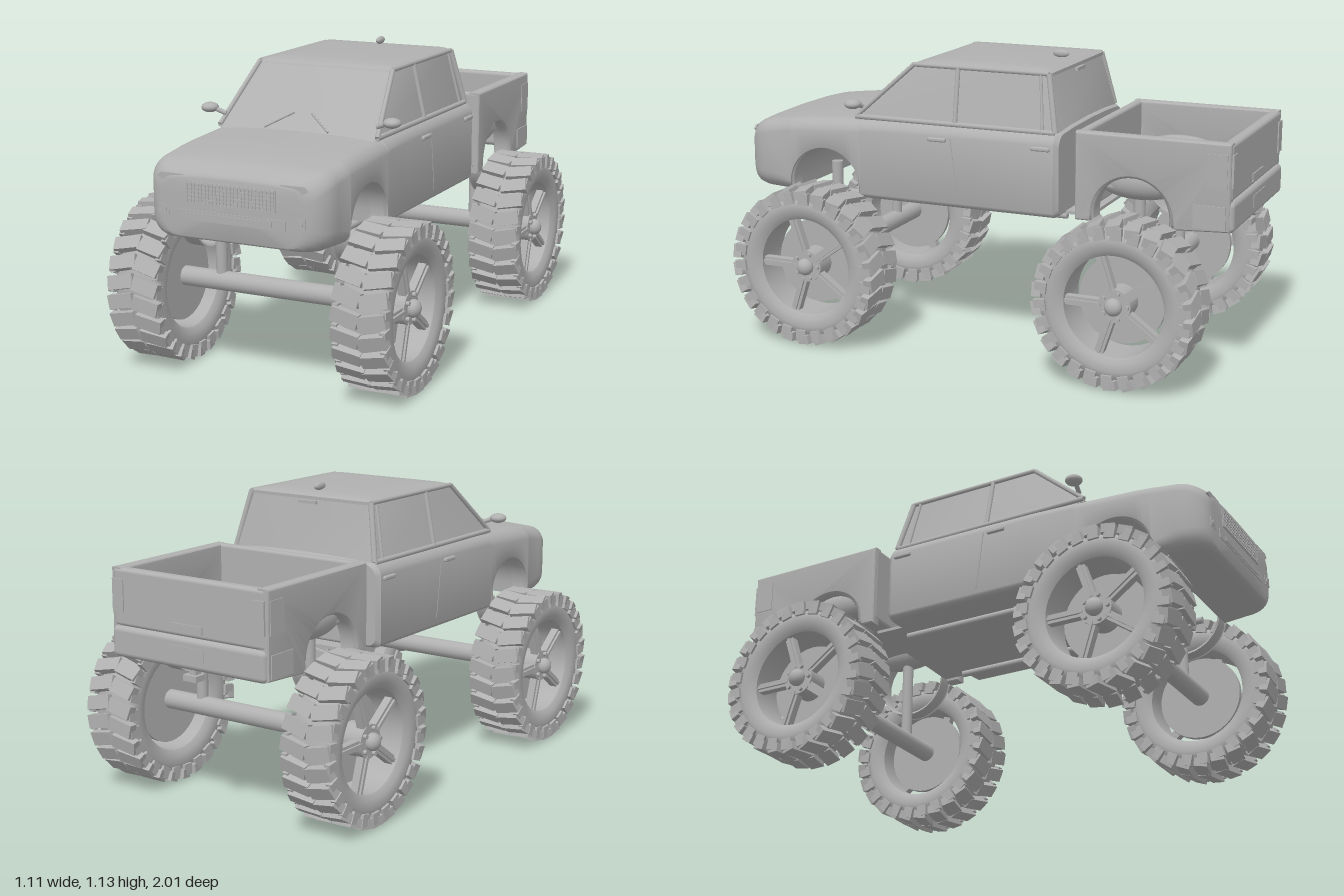
import * as THREE from 'three';
import { mergeGeometries, toCreasedNormals } from 'three/addons/utils/BufferGeometryUtils.js';
import { RoundedBoxGeometry } from 'three/addons/geometries/RoundedBoxGeometry.js';

const grey = new THREE.MeshStandardMaterial({ color: 0xb0b0b0, side: THREE.DoubleSide });
grey.name = 'plain grey';
const V = (x, y, z) => new THREE.Vector3(x, y, z);
const AXLES = [0.643, -0.617], ARCH_Y = 0.59, ARCH_R = 0.155, WHEEL_Y = 0.312;

export function createModel() {
  const model = new THREE.Group();
  model.name = 'liftedPickup';

  const add = (name, geo, x = 0, y = 0, z = 0, parent = model) => {
    const m = new THREE.Mesh(geo, grey);
    m.name = name;
    m.position.set(x, y, z);
    parent.add(m);
    return m;
  };
  const box = (name, w, h, d, x, y, z, parent) => add(name, new THREE.BoxGeometry(w, h, d), x, y, z, parent);
  const beam = (name, a, b, r, sides = 10) => {
    const m = add(name, new THREE.CylinderGeometry(r, r, a.distanceTo(b), sides));
    m.position.copy(a).lerp(b, 0.5);
    m.quaternion.setFromUnitVectors(V(0, 1, 0), b.clone().sub(a).normalize());
    return m;
  };
  const ball = (name, x, y, z, rx, ry, rz, parent) => {
    const m = add(name, new THREE.SphereGeometry(1, 24, 16), x, y, z, parent);
    m.scale.set(rx, ry, rz);
    return m;
  };
  // Skin closed rings of equal length and cap both ends
  const loft = (rings, crease = 0.6) => {
    const n = rings[0].length, pts = rings.flat(), idx = [];
    for (let i = 0; i < rings.length - 1; i++) for (let j = 0; j < n; j++) {
      const a = i * n + j, b = i * n + (j + 1) % n;
      idx.push(a, a + n, b, b, a + n, b + n);
    }
    [0, rings.length - 1].forEach((r, k) => {
      const c = rings[r].reduce((s, p) => s.add(p), V(0, 0, 0)).divideScalar(n);
      for (let j = 0; j < n; j++) {
        const a = r * n + j, b = r * n + (j + 1) % n;
        idx.push(pts.length, ...(k ? [b, a] : [a, b]));
      }
      pts.push(c);
    });
    const g = new THREE.BufferGeometry().setFromPoints(pts);
    g.setIndex(idx);
    return toCreasedNormals(g, crease);
  };

  // ---- Lower body: rounded sections from nose to cab back, arched over the front wheels
  const section = (z, w, T, B, rt, rb) => {
    const half = [[0, B]];
    for (let i = 0; i <= 5; i++) {
      const a = -Math.PI / 2 + i * Math.PI / 10;
      half.push([w - rb + rb * Math.cos(a), B + rb + rb * Math.sin(a)]);
    }
    for (let i = 0; i <= 6; i++) {
      const a = i * Math.PI / 12;
      half.push([w - rt + rt * Math.cos(a) - 0.008 * Math.sin(a), T - rt + rt * Math.sin(a)]);
    }
    half.push([w * 0.55, T + 0.006], [0, T + 0.009]);
    const mirror = half.slice(1, -1).reverse().map(([x, y]) => [-x, y]);
    return [...half, ...mirror].map(([x, y]) => V(x, y, z));
  };
  const topCurve = [[1, 0.812], [0.94, 0.832], [0.85, 0.847], [0.72, 0.859], [0.5, 0.87], [0.3, 0.877], [-0.34, 0.88]];
  const topAt = z => {
    const i = Math.max(1, topCurve.findIndex(p => p[0] <= z));
    const [a, b] = [topCurve[i - 1], topCurve[i]];
    return a[1] + (b[1] - a[1]) * (a[0] - z) / (a[0] - b[0]);
  };
  const rings = [];
  for (let i = 0; i <= 8; i++) {
    const a = i * Math.PI / 16, d = 1 - Math.sin(a), z = 1 - 0.11 * (1 - Math.cos(a));
    rings.push(section(z, 0.353 - 0.085 * d, topAt(z) - 0.03 * d, 0.56 + 0.02 * d, 0.05, 0.07));
  }
  rings.push(section(AXLES[0] + ARCH_R + 0.002, 0.353, topAt(0.8), 0.56, 0.05, 0.05));
  for (let i = 0; i <= 24; i++) {
    const a = i * Math.PI / 24, z = AXLES[0] + ARCH_R * Math.cos(a);
    rings.push(section(z, 0.354, topAt(z), ARCH_Y + ARCH_R * Math.sin(a), 0.05, 0.004));
  }
  for (const z of [AXLES[0] - ARCH_R - 0.002, 0.3, 0, -0.315]) rings.push(section(z, 0.354, topAt(z), 0.56, 0.045, 0.03));
  rings.push(section(-0.332, 0.34, 0.872, 0.57, 0.04, 0.03));
  add('lowerBody', loft(rings));

  // ---- Cabin: tapered window block with domed roof
  const cabRing = (y, w, zf, zb, r) => {
    const out = [];
    [[w - r, zf - r, 0], [-w + r, zf - r, 1], [-w + r, zb + r, 2], [w - r, zb + r, 3]].forEach(([x, z, q]) => {
      for (let i = 0; i <= 4; i++) {
        const a = (q + i / 4) * Math.PI / 2;
        out.push(V(x + r * Math.cos(a), y, z + r * Math.sin(a)));
      }
    });
    return out;
  };
  add('cabin', loft([cabRing(0.865, 0.322, 0.53, -0.322, 0.02), cabRing(1.085, 0.275, 0.29, -0.272, 0.02)]));
  add('roof', loft([cabRing(1.08, 0.28, 0.295, -0.28, 0.025), cabRing(1.092, 0.28, 0.288, -0.28, 0.025),
    cabRing(1.1, 0.262, 0.262, -0.262, 0.03), cabRing(1.105, 0.2, 0.2, -0.2, 0.03)], 1));
  for (const s of [-1, 1]) {
    const low = z => V(s * 0.322, 0.878, z), high = z => V(s * 0.277, 1.088, z);
    beam('frontPillar', low(0.515), high(0.285), 0.009);
    beam('middlePillar', low(0.095), high(0.1), 0.009);
    beam('rearPillar', low(-0.31), high(-0.268), 0.011);
    beam('windowSill', low(0.515), low(-0.31), 0.01);
    beam('roofRail', high(0.285), high(-0.268), 0.009);
    beam('quarterFrame', low(-0.26), high(-0.235), 0.006);
    beam('mirrorArm', V(s * 0.31, 0.915, 0.49), V(s * 0.36, 0.935, 0.5), 0.009);
    ball('mirror', s * 0.373, 0.935, 0.5, 0.033, 0.019, 0.033);
    beam('wiper', V(s * 0.13, 0.885, 0.525), V(s * 0.035, 0.937, 0.465), 0.004, 6);
    for (const z of [0.155, -0.265]) add('doorHandle', new RoundedBoxGeometry(0.02, 0.016, 0.075, 2, 0.006), s * 0.355, 0.822, z);
    beam('doorSeam', V(s * 0.354, 0.6, 0.07), V(s * 0.354, 0.83, 0.1), 0.002, 5);
    beam('underTube', V(s * 0.212, 0.543, 0.75), V(s * 0.212, 0.543, -0.32), 0.013, 16);
  }
  box('rearRoofLight', 0.08, 0.012, 0.012, 0, 1.07, -0.283);
  ball('roofAerial', 0, 1.12, -0.205, 0.012, 0.015, 0.033);

  // ---- Nose details
  box('grillePanel', 0.35, 0.076, 0.008, 0, 0.737, 0.999);
  for (let i = 0; i <= 24; i++) box('grilleBar', 0.003, 0.07, 0.006, -0.168 + i * 0.014, 0.737, 1.003);
  for (let i = 0; i <= 5; i++) box('grilleSlat', 0.34, 0.003, 0.006, 0, 0.703 + i * 0.0136, 1.003);
  box('lowerIntake', 0.42, 0.036, 0.008, 0, 0.657, 0.999);
  box('intakeInsert', 0.32, 0.02, 0.008, 0, 0.657, 1.002);
  for (const s of [-1, 1]) {
    const lamp = new THREE.Shape([[0.17, 0.768], [0.265, 0.764], [0.293, 0.784], [0.278, 0.797], [0.19, 0.797]]
      .map(([x, y]) => new THREE.Vector2(s * x, y)));
    add('headlight', new THREE.ExtrudeGeometry(lamp, { depth: 0.009, bevelEnabled: false }), 0, 0, 0.988);
    box('fogLightFrame', 0.042, 0.038, 0.009, s * 0.265, 0.67, 0.997);
    add('fogLight', new THREE.CylinderGeometry(0.012, 0.012, 0.008, 16), s * 0.265, 0.67, 1.001).rotation.x = Math.PI / 2;
  }

  // ---- Cargo bed: arched side walls, end walls, ribbed floor
  const wall = new THREE.Shape();
  wall.moveTo(-0.41, 0.58).lineTo(-0.41, 0.888).lineTo(-0.972, 0.888).lineTo(-0.972, 0.59);
  wall.lineTo(AXLES[1] - 0.17, 0.58).absellipse(AXLES[1], ARCH_Y, 0.167, 0.167, Math.PI, 0, true);
  wall.lineTo(AXLES[1] + 0.17, 0.58);
  const wallGeo = toCreasedNormals(new THREE.ExtrudeGeometry(wall,
    { depth: 0.026, bevelSize: 0.012, bevelThickness: 0.012, bevelSegments: 3, curveSegments: 24 }), 0.5);
  wallGeo.rotateY(-Math.PI / 2); // shape x becomes z, depth runs to -x
  for (const s of [-1, 1]) {
    add('bedSide', wallGeo, s * 0.326 + 0.013, 0, 0);
    ball('wheelHump', s * 0.255, 0.715, AXLES[1], 0.062, 0.07, 0.17);
    box('tailLightSide', 0.006, 0.12, 0.075, s * 0.351, 0.8, -0.935);
    box('tailLightBack', 0.05, 0.12, 0.008, s * 0.315, 0.8, -0.988);
    box('bumperCornerTrim', 0.006, 0.085, 0.12, s * 0.352, 0.63, -0.91);
  }
  add('bedFront', new RoundedBoxGeometry(0.68, 0.31, 0.035, 3, 0.012), 0, 0.745, -0.414);
  add('tailgate', new RoundedBoxGeometry(0.68, 0.21, 0.045, 3, 0.014), 0, 0.793, -0.965);
  add('rearBumper', new RoundedBoxGeometry(0.69, 0.115, 0.075, 3, 0.02), 0, 0.632, -0.96);
  box('bedFloor', 0.61, 0.014, 0.55, 0, 0.7, -0.69);
  for (let i = 0; i < 9; i++) box('floorRib', 0.03, 0.012, 0.52, (i - 4) * 0.058, 0.711, -0.69);
  box('tailgateHandle', 0.14, 0.03, 0.008, 0, 0.72, -0.988);
  box('plateHolder', 0.16, 0.045, 0.006, 0, 0.635, -0.997);
  box('towHitch', 0.06, 0.022, 0.05, 0, 0.54, -0.955);
  box('hitchBracket', 0.03, 0.05, 0.03, 0, 0.57, -0.95);
  box('chassisPlate', 0.52, 0.012, 0.14, 0, 0.568, -0.365);

  // ---- Wheels: tyre, chevron lugs, open five-spoke rim
  const tyrePts = [[0.19, -0.075], [0.21, -0.09], [0.24, -0.094], [0.265, -0.09], [0.282, -0.07], [0.286, 0],
    [0.282, 0.07], [0.265, 0.09], [0.24, 0.094], [0.21, 0.09], [0.19, 0.075], [0.19, -0.075]].map(p => new THREE.Vector2(...p));
  const tyreGeo = toCreasedNormals(new THREE.LatheGeometry(tyrePts, 56), 0.8).rotateZ(-Math.PI / 2);
  const lugs = [];
  const LUGS = 26;
  for (let i = 0; i < LUGS; i++) for (const s of [-1, 1]) {
    const tread = new THREE.BoxGeometry(0.104, 0.034, 0.052).rotateX(0.14).rotateY(s * 0.22).translate(s * 0.051, 0.289, 0);
    const shoulder = new THREE.BoxGeometry(0.022, 0.045, 0.042).translate(s * 0.091, 0.274, -0.02);
    lugs.push(...[tread, shoulder].map(g => g.rotateX((i + (s > 0 ? 0.1 : 0)) * 2 * Math.PI / LUGS)));
  }
  const lugGeo = mergeGeometries(lugs);
  const disc = (r, t) => new THREE.CylinderGeometry(r, r, t, 40).rotateZ(Math.PI / 2);
  const ribbed = [];
  for (let i = 0; i <= 12; i++) ribbed.push(new THREE.Vector2(i % 2 ? 0.143 : 0.153, -0.033 + i * 0.0055));
  const linerGeo = new THREE.LatheGeometry(ribbed, 48).rotateZ(Math.PI / 2);

  for (const z of AXLES) {
    beam('axle', V(-0.42, 0.316, z), V(0.42, 0.316, z), 0.037, 24);
    for (const s of [-1, 1]) {
      beam('strut', V(s * 0.25, 0.32, z), V(s * 0.25, 0.675, z), 0.022, 20);
      add('ribbedArchLiner', linerGeo, s * 0.312, 0.6, z);
      const wheel = new THREE.Group();
      wheel.name = 'wheel';
      wheel.position.set(s * 0.449, WHEEL_Y, z);
      if (s < 0) wheel.rotation.y = Math.PI;
      model.add(wheel);
      add('tyre', tyreGeo, 0, 0, 0, wheel);
      add('treadLugs', lugGeo, 0, 0, 0, wheel);
      add('brakeDisc', disc(0.165, 0.02), -0.03, 0, 0, wheel);
      add('hub', disc(0.062, 0.09), 0.02, 0, 0, wheel);
      ball('hubCap', 0.075, 0, 0, 0.028, 0.033, 0.033, wheel);
      for (let k = 0; k < 5; k++) {
        const arm = new THREE.Group();
        arm.name = 'spokeArm';
        arm.rotation.x = k * 2 * Math.PI / 5;
        wheel.add(arm);
        box('spoke', 0.03, 0.034, 0.15, 0.045, 0, 0.12, arm);
        box('spokeRidge', 0.012, 0.012, 0.14, 0.062, 0, 0.12, arm);
        add('wheelBolt', disc(0.008, 0.02), 0.068, 0.028, 0.04, arm);
      }
    }
  }
  return model;
}
